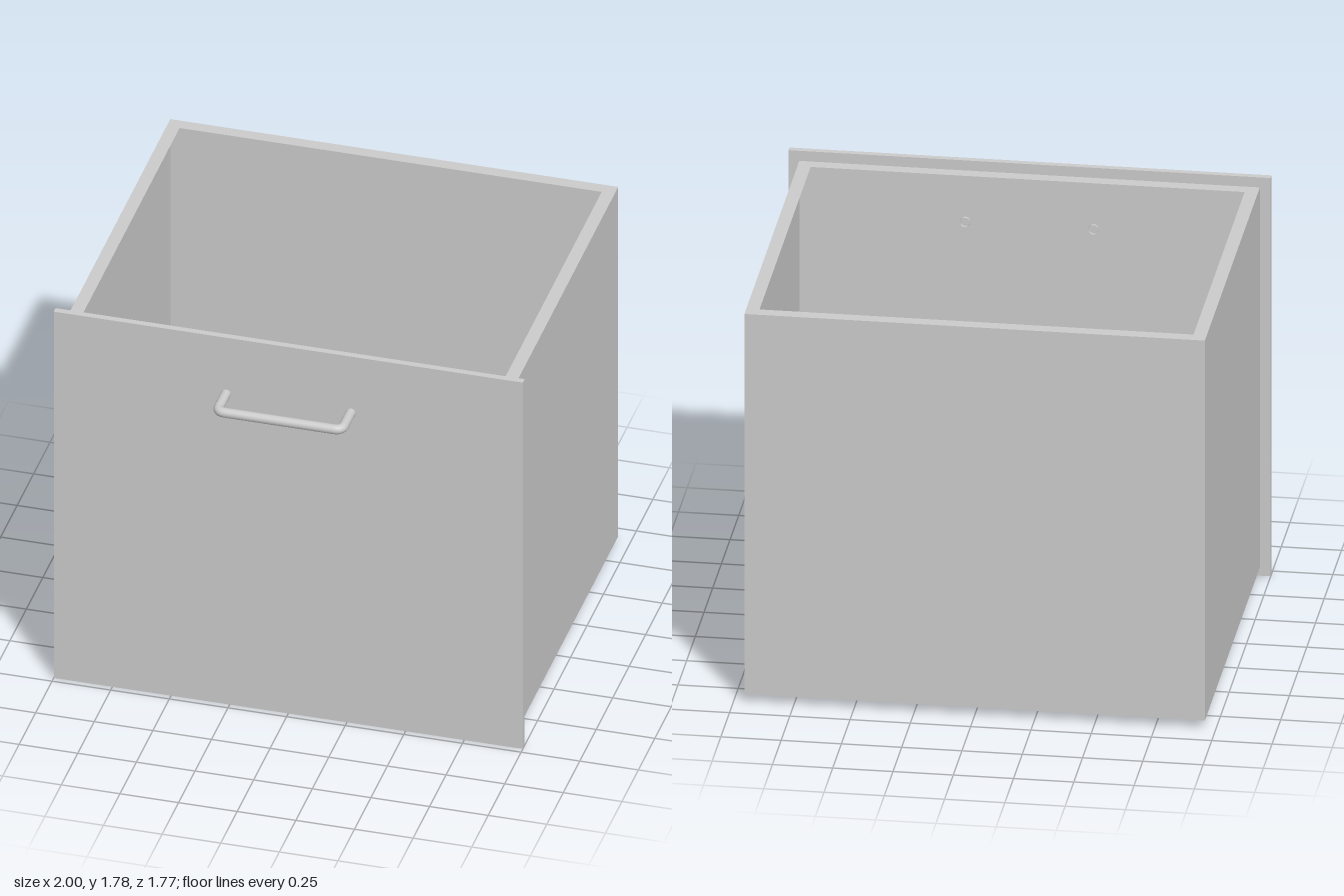
import * as THREE from 'three';

const grey = new THREE.MeshStandardMaterial({ color: 0xcccccc, side: THREE.DoubleSide });

function add(parent, name, geometry, x = 0, y = 0, z = 0) {
  const mesh = new THREE.Mesh(geometry, grey);
  mesh.name = name;
  mesh.position.set(x, y, z);
  parent.add(mesh);
  return mesh;
}

function rectangle(PathType, x0, y0, x1, y1) {
  return new PathType([
    new THREE.Vector2(x0, y0), new THREE.Vector2(x1, y0),
    new THREE.Vector2(x1, y1), new THREE.Vector2(x0, y1),
  ]);
}

export function createModel() {
  const drawer = new THREE.Group();
  drawer.name = 'drawer';

  const halfW = 0.955, lip = 0.055;
  const back = -0.885, front = 0.696;
  const bottom = 0.037, top = 1.74;
  const height = top - bottom, depth = front - back;
  const midY = (top + bottom) / 2, midZ = (front + back) / 2;

  // Thin sheet shell: floor, back and sides; the front panel closes the front
  add(drawer, 'floor', new THREE.PlaneGeometry(2 * halfW, depth), 0, bottom, midZ).rotation.x = Math.PI / 2;
  add(drawer, 'backWall', new THREE.PlaneGeometry(2 * halfW, height), 0, midY, back).rotation.y = Math.PI;
  for (const [name, s] of [['leftWall', 1], ['rightWall', -1]]) {
    add(drawer, name, new THREE.PlaneGeometry(depth, height), s * halfW, midY, midZ).rotation.y = s * Math.PI / 2;
  }

  // Inward flange around the top opening
  const rim = rectangle(THREE.Shape, -halfW, -depth / 2, halfW, depth / 2);
  rim.holes.push(rectangle(THREE.Path, -halfW + lip, -depth / 2 + lip, halfW - lip, depth / 2 - lip));
  add(drawer, 'rim', new THREE.ShapeGeometry(rim), 0, top, midZ).rotation.x = -Math.PI / 2;

  // Overhanging front panel
  add(drawer, 'frontPanel', new THREE.BoxGeometry(2, 1.785, 0.028), 0, 0.8925, front + 0.014);

  // Bent bar handle, its open ends passing just through the panel
  const gripX = 0.266, gripY = 1.512;
  const v = (x, z) => new THREE.Vector3(x, gripY, z);
  const zOut = 0.864, zIn = front - 0.012, bend = 0.035;
  const path = new THREE.CurvePath();
  path.add(new THREE.LineCurve3(v(-gripX, zIn), v(-gripX, zOut - bend)));
  path.add(new THREE.QuadraticBezierCurve3(v(-gripX, zOut - bend), v(-gripX, zOut), v(-gripX + bend, zOut)));
  path.add(new THREE.LineCurve3(v(-gripX + bend, zOut), v(gripX - bend, zOut)));
  path.add(new THREE.QuadraticBezierCurve3(v(gripX - bend, zOut), v(gripX, zOut), v(gripX, zOut - bend)));
  path.add(new THREE.LineCurve3(v(gripX, zOut - bend), v(gripX, zIn)));
  add(drawer, 'handle', new THREE.TubeGeometry(path, 120, 0.021, 16, false));

  return drawer;
}
